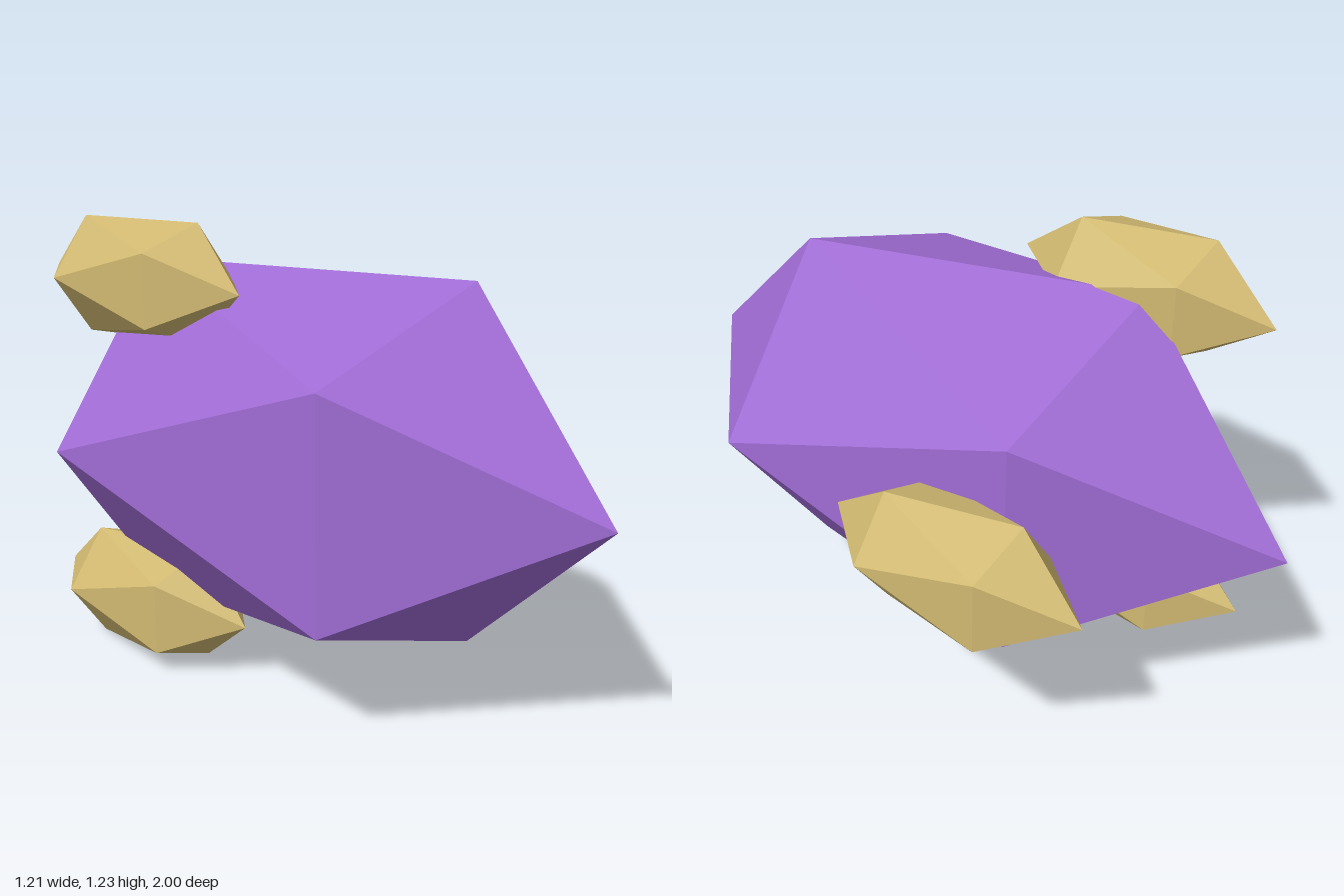
import * as THREE from 'three';

const purple = new THREE.MeshStandardMaterial({ color: 0xa06cd5, flatShading: true });
purple.name = 'purple';
const gold = new THREE.MeshStandardMaterial({ color: 0xd1b971, flatShading: true });
gold.name = 'gold';

// Icosahedron with a corner pointing along +z, stretched along z
function crystal(name, material, width, length, x, y, z) {
  const geometry = new THREE.IcosahedronGeometry(1, 0);
  geometry.rotateX(Math.atan(2 / (1 + Math.sqrt(5))));
  geometry.rotateZ(Math.PI / 2);
  geometry.scale(width, width, length);
  geometry.computeVertexNormals();
  const mesh = new THREE.Mesh(geometry, material);
  mesh.name = name;
  mesh.position.set(x, y, z);
  return mesh;
}

export function createModel() {
  const model = new THREE.Group();
  model.name = 'crystalPod';
  const cx = -0.087, cy = 0.613;

  // Large central body
  model.add(crystal('body', purple, 0.578, 1, cx, cy, 0));

  // Three small pods spaced evenly around the rear half
  for (let i = 0; i < 3; i++) {
    const a = (i * Math.PI * 2) / 3;
    model.add(crystal('pod' + (i + 1), gold, 0.188, 0.39,
      cx + 0.524 * Math.cos(a), cy + 0.524 * Math.sin(a), -0.37));
  }
  return model;
}
